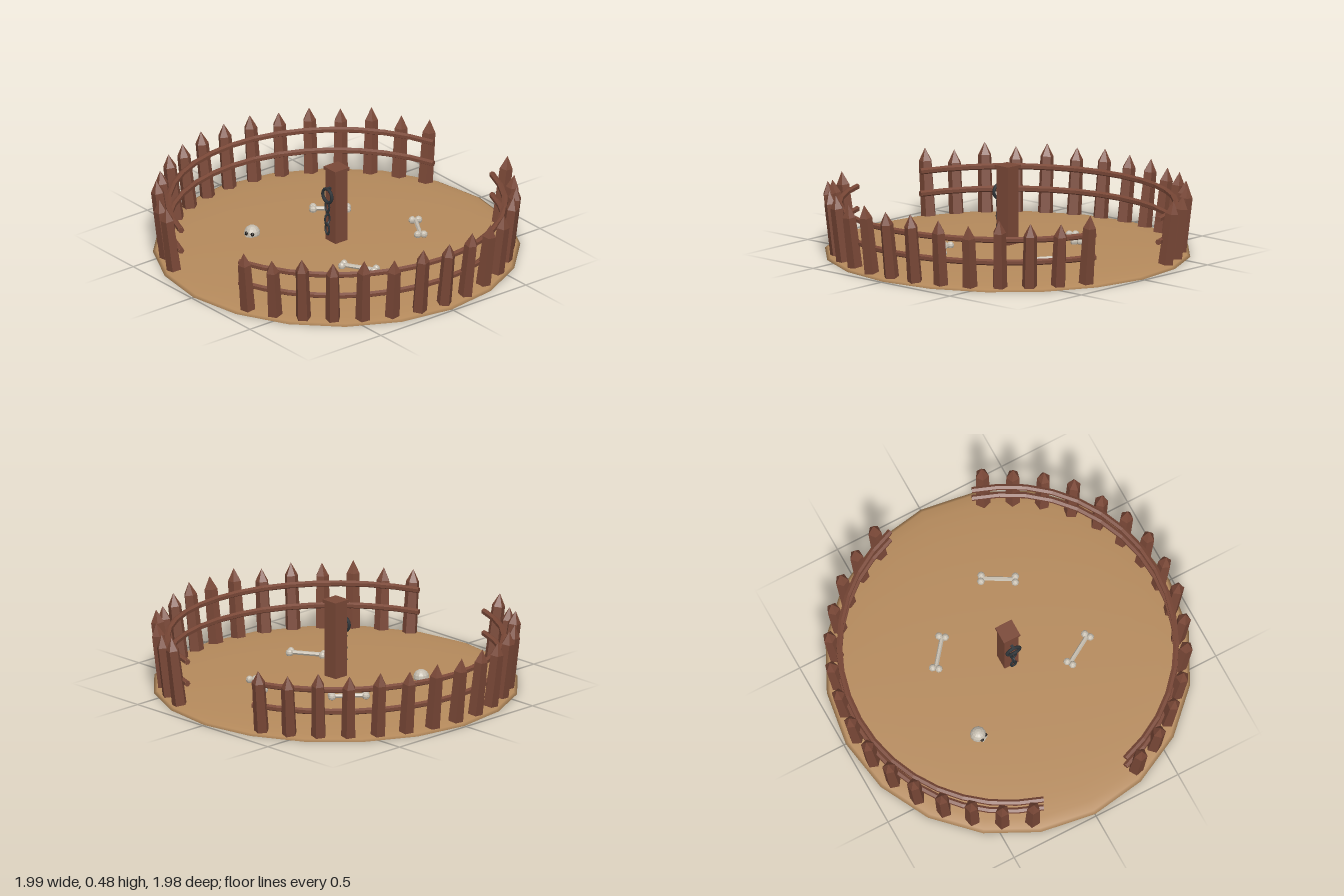
import * as THREE from 'three';

const mat = (name, color, flatShading = true) => {
  const m = new THREE.MeshStandardMaterial({ color, flatShading });
  m.name = name;
  return m;
};

export function createModel() {
  const root = new THREE.Group();
  root.name = 'fencedPen';
  const dirt = mat('dirt', 0xb58a5c, false);
  const wood = mat('wood', 0x7a4837);
  const bone = mat('bone', 0xc4bcae);
  const iron = mat('iron', 0x2f3539, false);
  const socket = mat('socket', 0x1e1b19);

  const add = (parent, name, geo, material, x = 0, y = 0, z = 0) => {
    const mesh = new THREE.Mesh(geo, material);
    mesh.name = name;
    mesh.position.set(x, y, z);
    parent.add(mesh);
    return mesh;
  };
  const group = (parent, name, x = 0, y = 0, z = 0) => {
    const g = new THREE.Group();
    g.name = name;
    g.position.set(x, y, z);
    parent.add(g);
    return g;
  };

  // Low mound with a flat underside
  const mound = new THREE.SphereGeometry(0.988, 20, 8, 0, Math.PI * 2, 0, Math.PI / 2);
  mound.scale(1, 0.05, 1);
  add(root, 'mound', mound, dirt);
  add(root, 'moundBase', new THREE.CircleGeometry(0.988, 20).rotateX(Math.PI / 2), dirt);

  // Five-sided pointed pickets, leaning outward, in two facing arcs
  const heights = {
    1: [0.4, 0.365, 0.375, 0.395, 0.36, 0.38, 0.395, 0.385, 0.395, 0.365, 0.38, 0.37, 0.385, 0.355, 0.365],
    [-1]: [0.37, 0.36, 0.385, 0.37, 0.38, 0.37, 0.385, 0.38, 0.39, 0.38, 0.39, 0.37, 0.395, 0.36, 0.385],
  };
  const picketGeo = (h) => new THREE.LatheGeometry([
    new THREE.Vector2(0, 0), new THREE.Vector2(0.042, 0),
    new THREE.Vector2(0.037, h - 0.07), new THREE.Vector2(0, h),
  ], 5);

  for (const side of [1, -1]) {
    const fence = group(root, side > 0 ? 'leftFence' : 'rightFence');
    heights[side].forEach((h, i) => {
      const a = THREE.MathUtils.degToRad(-70 + i * 10);
      const stand = group(fence, 'picketStand', side * 0.92 * Math.cos(a), 0.01, 0.92 * Math.sin(a));
      stand.rotation.y = -Math.atan2(Math.sin(a), side * Math.cos(a));
      const picket = add(stand, 'picket', picketGeo(h - 0.01), wood);
      picket.rotation.set(0, (i * 2.4 + side) % 1.25, -0.13, 'ZYX');
    });

    // Two curved rails on the inner side of the pickets
    for (const y of [0.27, 0.147]) {
      const points = [];
      for (let i = 0; i <= 12; i++) {
        const a = THREE.MathUtils.degToRad(-74 + i * 148 / 12);
        points.push(new THREE.Vector3(side * 0.905 * Math.cos(a), y, 0.905 * Math.sin(a)));
      }
      const curve = new THREE.CatmullRomCurve3(points);
      add(fence, 'rail', new THREE.TubeGeometry(curve, 16, 0.017, 6), wood);
      for (const t of [0, 1]) {
        const cap = add(fence, 'railEnd', new THREE.CircleGeometry(0.017, 6), wood);
        cap.position.copy(curve.getPoint(t));
        const out = curve.getTangent(t).multiplyScalar(t ? 1 : -1);
        cap.quaternion.setFromUnitVectors(new THREE.Vector3(0, 0, 1), out);
      }
    }
  }

  // Tethering post with cap
  add(root, 'tetherPost', new THREE.BoxGeometry(0.084, 0.43, 0.084), wood, 0, 0.25, 0);
  add(root, 'postCap', new THREE.BoxGeometry(0.1, 0.018, 0.1), wood, 0, 0.472, 0);

  // Iron ring and hanging chain, alternate links turned a quarter
  const tether = group(root, 'tether', 0, 0, 0.064);
  add(tether, 'ring', new THREE.TorusGeometry(0.039, 0.009, 6, 16), iron, 0, 0.328, 0);
  add(tether, 'ringStaple', new THREE.BoxGeometry(0.014, 0.014, 0.03), iron, 0, 0.367, -0.012);
  [0.262, 0.19, 0.13].forEach((y, i) => {
    const link = add(tether, 'chainLink', new THREE.TorusGeometry(0.017, 0.0055, 5, 10), iron, 0, y, 0);
    link.scale.y = 1.75;
    link.rotation.y = (i % 2) * Math.PI / 2;
  });

  // Scattered bones: shaft with a pair of knobs at each end
  const bones = [[0.17, -0.425, 0.52], [-0.31, -0.205, -0.89], [0.36, 0.135, -0.54]];
  for (const [x, z, turn] of bones) {
    const g = group(root, 'bone', x, 0.058, z);
    g.rotation.y = -turn;
    add(g, 'boneShaft', new THREE.CylinderGeometry(0.012, 0.012, 0.18, 6).rotateZ(Math.PI / 2), bone);
    for (const ex of [-0.092, 0.092])
      for (const ez of [-0.017, 0.017])
        add(g, 'boneKnob', new THREE.SphereGeometry(0.021, 8, 6), bone, ex, 0, ez);
  }

  // Half-buried skull
  const skull = group(root, 'skull', -0.345, 0.052, 0.305);
  skull.rotation.y = 0.5;
  add(skull, 'cranium', new THREE.SphereGeometry(0.044, 12, 8), bone);
  add(skull, 'jaw', new THREE.BoxGeometry(0.04, 0.026, 0.03), bone, 0, -0.016, 0.032);
  for (const s of [-1, 1])
    add(skull, 'eyeSocket', new THREE.SphereGeometry(0.0105, 8, 6), socket, s * 0.017, 0.008, 0.036);

  return root;
}
